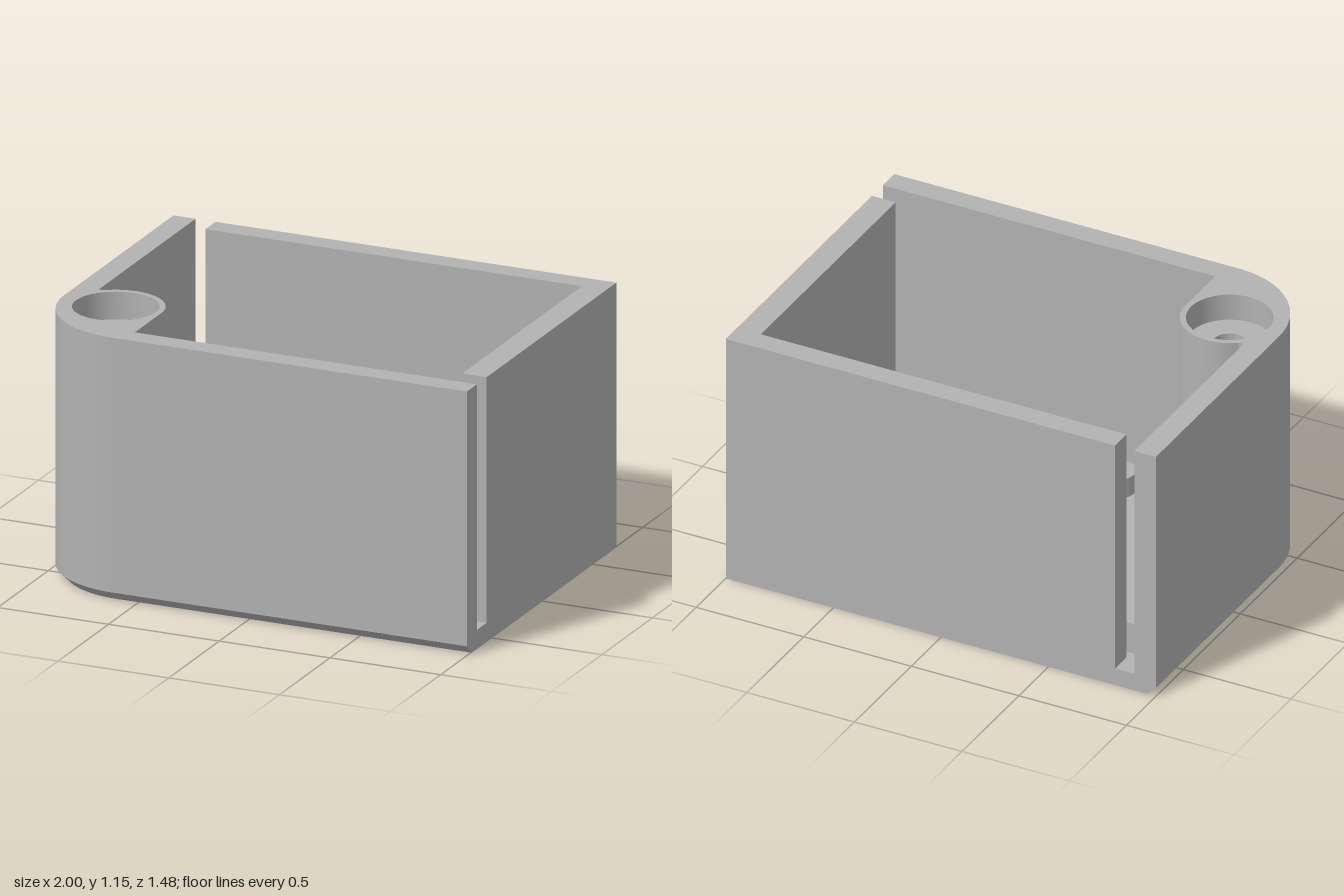
import * as THREE from 'three';
import { toCreasedNormals } from 'three/addons/utils/BufferGeometryUtils.js';

const grey = new THREE.MeshStandardMaterial({ color: 0xb2b2b2 });
grey.name = 'plain grey';

const H = 1.15, FLOOR = 0.08, CHAMFER = 0.04, POST_TOP = 0.17;

// Plan shapes are drawn as (x, z) and raised from y0 to y1.
function raise(shape, y0, y1) {
  const g = new THREE.ExtrudeGeometry(shape, { depth: y1 - y0, bevelEnabled: false, curveSegments: 32 });
  return toCreasedNormals(g.rotateX(Math.PI / 2).translate(0, y1, 0), 0.5);
}

const polygon = (pts) => new THREE.Shape(pts.map(([x, z]) => new THREE.Vector2(x, z)));
const rect = (x0, z0, x1, z1) => polygon([[x0, z0], [x1, z0], [x1, z1], [x0, z1]]);
const circle = (x, z, r) => new THREE.Path().absarc(x, z, r, 0, Math.PI * 2);

// Outer outline, pulled in only along the front, the left side and the round corner
function outline(inset) {
  const s = new THREE.Shape();
  s.moveTo(-1 + inset, -0.74);
  s.lineTo(1, -0.74);
  s.lineTo(1, 0.74 - inset);
  s.absarc(-0.6, 0.34, 0.4 - inset, Math.PI / 2, Math.PI);
  return s;
}

// Rounded window outline
function windowPath(grow) {
  const x0 = -0.21 - grow, x1 = 0.84 + grow, z0 = -0.34 - grow, z1 = 0.225 + grow, r = 0.02, q = Math.PI / 2;
  const p = new THREE.Path();
  p.absarc(x1 - r, z0 + r, r, -q, 0);
  p.absarc(x1 - r, z1 - r, r, 0, q);
  p.absarc(x0 + r, z1 - r, r, q, 2 * q);
  p.absarc(x0 + r, z0 + r, r, 2 * q, 3 * q);
  return p.closePath();
}

// Band of faces between a low and a high outline
function band(low, high, y0, y1, inward) {
  const a = low.getPoints(32), b = high.getPoints(32), pos = [];
  for (let i = 0; i < a.length; i++) {
    const j = (i + 1) % a.length;
    const A = [a[i].x, y0, a[i].y], B = [a[j].x, y0, a[j].y];
    const C = [b[j].x, y1, b[j].y], D = [b[i].x, y1, b[i].y];
    const corners = inward ? [A, B, C, A, C, D] : [A, C, B, A, D, C];
    pos.push(...corners.flat());
  }
  const g = new THREE.BufferGeometry();
  g.setAttribute('position', new THREE.Float32BufferAttribute(pos, 3));
  return toCreasedNormals(g, 0.5);
}

export function createModel() {
  const model = new THREE.Group();
  model.name = 'enclosure';
  const add = (name, geometry) => {
    const m = new THREE.Mesh(geometry, grey);
    m.name = name;
    model.add(m);
    return m;
  };

  // Floor plate with its window and chamfered lower edges
  const plate = outline(0);
  plate.holes.push(windowPath(0));
  add('floor', raise(plate, CHAMFER, FLOOR));
  add('floorChamfer', band(outline(CHAMFER), outline(0), 0, CHAMFER, false));
  add('windowChamfer', band(windowPath(0.03), windowPath(0), 0, CHAMFER, true));
  const under = outline(CHAMFER);
  under.holes.push(windowPath(0.03));
  add('underside', new THREE.ShapeGeometry(under, 32).rotateX(Math.PI / 2));

  // Left and front walls, joined by the round corner and its boss
  const cornerWall = (holeRadius) => {
    const s = new THREE.Shape();
    s.moveTo(-1, -0.74);
    s.lineTo(-0.9, -0.74);
    s.lineTo(-0.9, 0.22);
    s.absarc(-0.75, 0.38, 0.205, Math.atan2(-0.16, -0.125), 0);
    s.lineTo(-0.545, 0.64);
    s.lineTo(1, 0.64);
    s.lineTo(1, 0.74);
    s.absarc(-0.6, 0.34, 0.4, Math.PI / 2, Math.PI);
    s.holes.push(circle(-0.75, 0.38, holeRadius));
    return s;
  };
  const pocketFloor = H - 0.12;
  add('leftFrontWall', raise(cornerWall(0.07), FLOOR, pocketFloor));
  add('leftFrontWallRim', raise(cornerWall(0.18), pocketFloor, H));

  // Back and right walls, leaving a slot at each end
  add('backRightWall', raise(polygon([
    [-0.81, -0.74], [1, -0.74], [1, 0.545], [0.89, 0.545], [0.89, -0.64], [-0.81, -0.64],
  ]), FLOOR, H));

  // Rib along the back wall
  add('backRib', raise(rect(-0.9, -0.6, 0.89, -0.52), FLOOR, 0.22));

  // Back posts joined by a bar, trimmed flat beside the window
  const bar = new THREE.Shape();
  const trim = Math.atan2(0.055, 0.058);
  bar.absarc(-0.15, -0.42, 0.08, Math.PI - trim, Math.PI * 2);
  bar.absarc(0.78, -0.42, 0.08, Math.PI, Math.PI * 2 + trim);
  add('backPostBar', raise(bar, FLOOR, POST_TOP));
  add('barBlock', raise(rect(0.1, -0.51, 0.53, -0.42), FLOOR, 0.12));

  // Front posts, and a tapered pin on every post
  const pinProfile = [[0.035, POST_TOP], [0.035, 0.188], [0.02, 0.203], [0, 0.203]]
    .map(([r, y]) => new THREE.Vector2(r, y));
  for (const x of [-0.15, 0.78]) {
    const post = add('frontPost', new THREE.CylinderGeometry(0.08, 0.08, POST_TOP - FLOOR, 32));
    post.position.set(x, (POST_TOP + FLOOR) / 2, 0.525);
    for (const z of [-0.42, 0.525]) {
      const pin = add('pin', toCreasedNormals(new THREE.LatheGeometry(pinProfile, 24), 0.5));
      pin.position.set(x, 0, z);
    }
  }
  return model;
}
